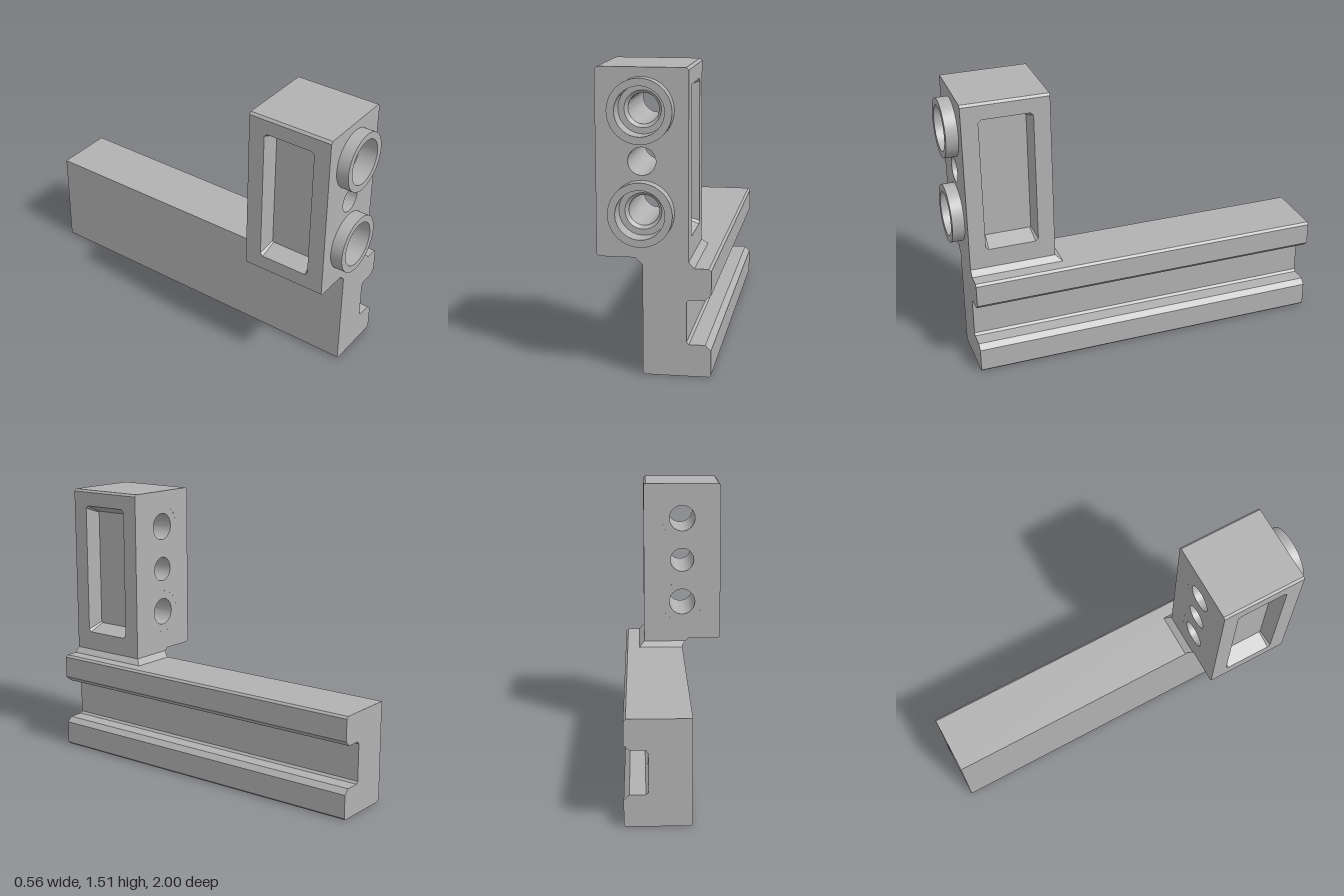
import * as THREE from 'three';
import { toCreasedNormals } from 'three/addons/utils/BufferGeometryUtils.js';

const FRONT = 0.935, BACK = 0.47;      // z faces of the tower
const BOTTOM = 0.59, TOP = 1.51;       // tower height range
const CX = -0.055, CZ = (FRONT + BACK) / 2;
const HALF = 0.225, WEB = 0.135;       // half widths of the tower and of its core

// Skin a list of equally long closed rings; optional end cap.
function loft(rings) {
  const pos = [];
  for (let i = 0; i < rings.length - 1; i++) {
    const n = rings[i].length;
    for (let j = 0; j < n; j++) {
      const k = (j + 1) % n;
      const a = rings[i][j], b = rings[i][k], c = rings[i + 1][k], d = rings[i + 1][j];
      pos.push(...a, ...b, ...c, ...a, ...c, ...d);
    }
  }
  const g = new THREE.BufferGeometry();
  g.setAttribute('position', new THREE.Float32BufferAttribute(pos, 3));
  g.computeVertexNormals();
  return g;
}

// Rectangle in the y-z plane at x, with cut corners.
function sideRing(x, y0, y1, hz, c) {
  return [[y1, -hz + c], [y1, hz - c], [y1 - c, hz], [y0 + c, hz],
    [y0, hz - c], [y0, -hz + c], [y0 + c, -hz], [y1 - c, -hz]].map(([y, z]) => [x, y, z]);
}

// Rectangle in the x-z plane at height y.
const flatRing = (y, x0, x1, z0, z1) =>
  [[x0, y, z1], [x1, y, z1], [x1, y, z0], [x0, y, z0]];

function extrudeZ(shape, z0, z1) {
  const g = new THREE.ExtrudeGeometry(shape, { depth: z1 - z0, bevelEnabled: false, curveSegments: 48 });
  g.translate(0, 0, z0);
  return toCreasedNormals(g, 0.5);
}

const shapeFrom = (pts) => new THREE.Shape(pts.map(([x, y]) => new THREE.Vector2(x, y)));

export function createModel() {
  const model = new THREE.Group();
  const grey = new THREE.MeshStandardMaterial({ color: 0xb2b2b2 });
  grey.name = 'grey';
  const add = (name, geometry, parent = model) => {
    const m = new THREE.Mesh(geometry, grey);
    m.name = name;
    parent.add(m);
    return m;
  };

  // Long rail with a slot along its left side
  add('rail', extrudeZ(shapeFrom([
    [-0.055, 0.01], [-0.045, 0], [0.27, 0], [0.28, 0.01], [0.28, 0.135], [0.252, 0.162],
    [0.172, 0.162], [0.16, 0.174], [0.16, 0.373], [0.172, 0.387], [0.25, 0.387],
    [0.28, 0.415], [0.28, 0.533], [0.268, 0.545], [-0.055, 0.545],
  ]), -1, FRONT));

  // Sloped neck joining rail and tower
  add('neck', loft([
    flatRing(0.543, -0.055, 0.2, 0.433, FRONT),
    flatRing(0.555, -0.055, 0.19, 0.447, FRONT),
    flatRing(0.575, -0.075, 0.17, BACK, FRONT),
    flatRing(BOTTOM, -0.09, 0.17, BACK, FRONT),
  ]));

  // Tower core, pierced from front to back
  const core = shapeFrom([[CX - WEB, BOTTOM], [CX + WEB, BOTTOM], [CX + WEB, TOP], [CX - WEB, TOP]]);
  for (const [y, r] of [[0.813, 0.12], [1.062, 0.068], [1.308, 0.12]]) {
    core.holes.push(new THREE.Path().absarc(CX, y, r, 0, Math.PI * 2, true));
  }
  add('towerCore', extrudeZ(core, BACK, FRONT));

  // Tower sides with recessed, tapered pockets
  for (const [name, turn] of [['leftPocketSide', 0], ['rightPocketSide', Math.PI]]) {
    const hz = CZ - BACK;
    const side = add(name, loft([
      sideRing(WEB, BOTTOM, TOP, hz, 0),
      sideRing(HALF - 0.012, BOTTOM, TOP, hz, 0),
      sideRing(HALF, BOTTOM + (turn ? 0.01 : 0), TOP - 0.012, hz, 0),
      sideRing(HALF, 0.68, 1.42, 0.143, 0.015),
      sideRing(WEB, 0.72, 1.38, 0.128, 0.006),
    ]));
    side.position.set(CX, 0, CZ);
    side.rotation.y = turn;
  }

  // Raised collars with stepped bores running through the tower
  const profile = [[0.157, FRONT], [0.157, 1], [0.12, 1], [0.12, 0.9], [0.09, 0.9],
    [0.075, 0.88], [0.075, BACK], [0.12, BACK]].map(([r, z]) => new THREE.Vector2(r, z));
  const collar = toCreasedNormals(new THREE.LatheGeometry(profile, 64).rotateX(Math.PI / 2), 0.5);
  for (const [name, y] of [['lowerCollar', 0.813], ['upperCollar', 1.308]]) {
    add(name, collar).position.set(CX, y, 0);
  }

  return model;
}
